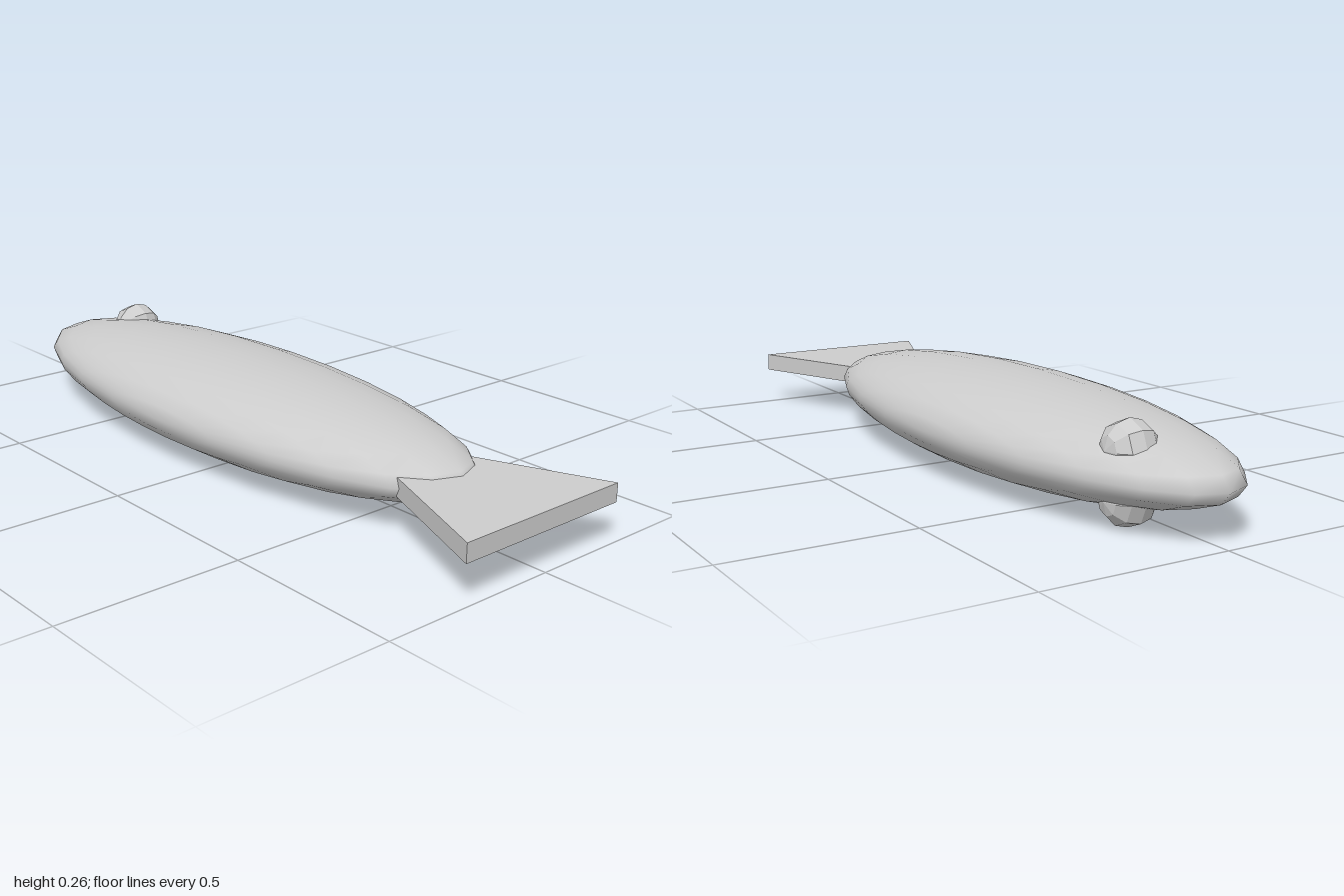
import * as THREE from 'three';

export function createModel() {
  const model = new THREE.Group();
  const grey = new THREE.MeshStandardMaterial({ color: 0xcccccc });
  grey.name = 'light grey';
  const greyFlat = grey.clone();
  greyFlat.flatShading = true;

  const midY = 0.134;
  const add = (name, geometry, material, x, y, z) => {
    const mesh = new THREE.Mesh(geometry, material);
    mesh.name = name;
    mesh.position.set(x, y, z);
    model.add(mesh);
  };

  // Flattened smooth body, poles along z
  const bodyGeometry = new THREE.SphereGeometry(1, 24, 12).rotateX(Math.PI / 2);
  bodyGeometry.scale(0.88, 0.131, 0.29);
  add('body', bodyGeometry, grey, -0.12, midY, 0);

  // Faceted eyes, one on each broad side
  for (const side of [1, -1]) {
    const eye = new THREE.SphereGeometry(0.071, 8, 6).rotateX(Math.PI / 2);
    add(side > 0 ? 'upperEye' : 'lowerEye', eye, greyFlat, -0.745, midY + side * 0.06, -0.085);
  }

  // Wedge-shaped tail fin, its point buried in the body
  const fin = new THREE.Shape([
    new THREE.Vector2(0.36, 0),
    new THREE.Vector2(1, -0.262),
    new THREE.Vector2(1, 0.262),
  ]);
  const finGeometry = new THREE.ExtrudeGeometry(fin, { depth: 0.05, bevelEnabled: false });
  finGeometry.translate(0, 0, -0.025).rotateX(-Math.PI / 2);
  add('tailFin', finGeometry, greyFlat, 0, midY, 0.012);

  return model;
}
